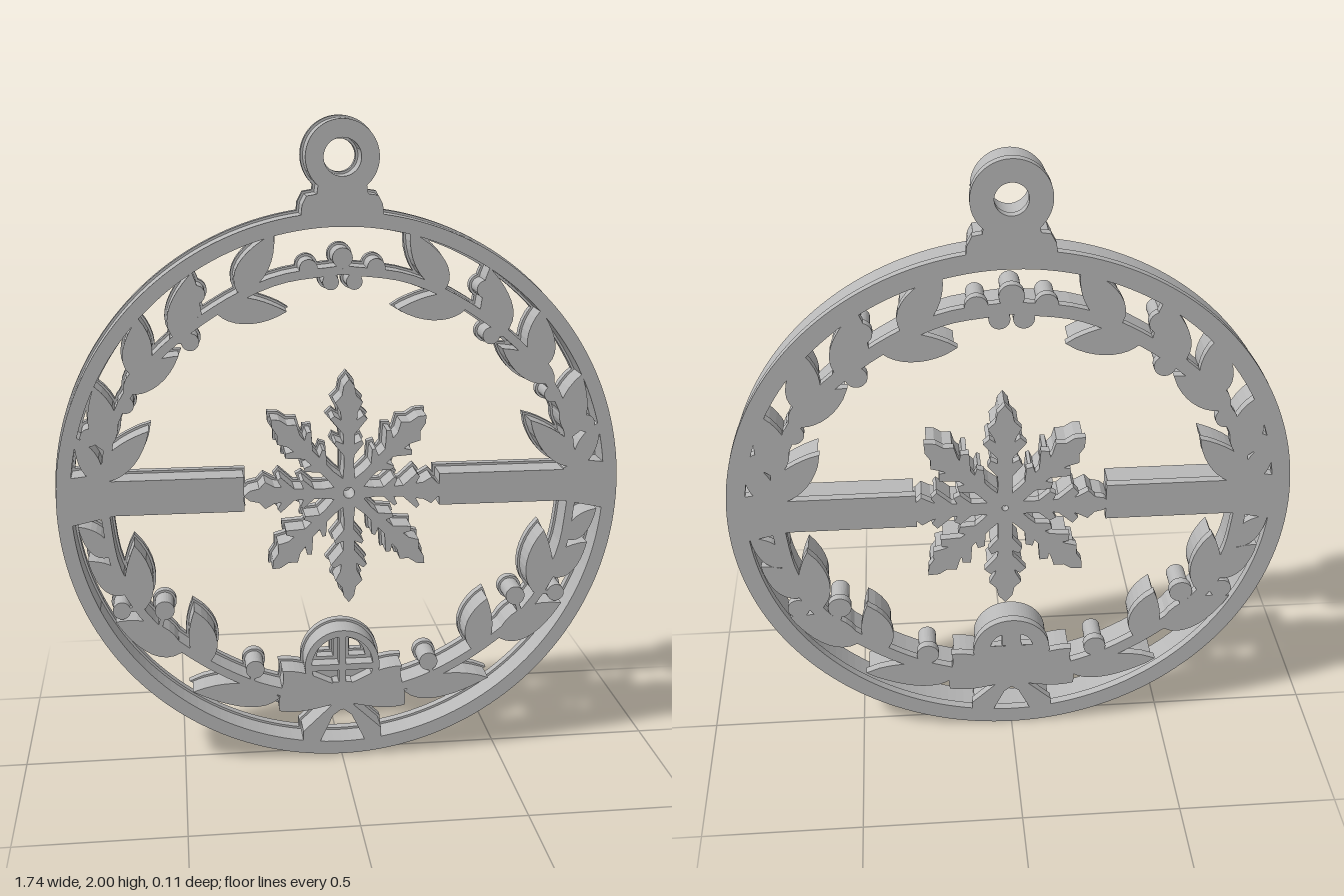
import * as THREE from 'three';

const grey = new THREE.MeshStandardMaterial({ color: 0xb8b8b8 });
grey.name = 'silverGrey';

const BACK = -0.055, STEP = -0.028, FRONT = 0.055, LIP = 0.007;
const CY = 0.868; // centre height of the hoop

const polygon = (pts) => new THREE.Shape(pts.map(([x, y]) => new THREE.Vector2(x, y)));

function disc(x, y, r, hole = 0) {
  const s = new THREE.Shape();
  s.absarc(x, y, r, 0, Math.PI * 2, false);
  if (hole) addHole(s, x, y, hole);
  return s;
}

function addHole(s, x, y, r) {
  const h = new THREE.Path();
  h.absarc(x, y, r, 0, Math.PI * 2, true);
  s.holes.push(h);
}

export function createModel() {
  const model = new THREE.Group();
  model.name = 'ornament';

  // Every part is a front slab on a slightly wider back slab
  function cutout(name, shape, { segments = 12, front = FRONT } = {}) {
    const group = new THREE.Group();
    group.name = name;
    const body = new THREE.Mesh(new THREE.ExtrudeGeometry(shape, {
      depth: front - STEP, bevelEnabled: false, curveSegments: segments,
    }), grey);
    body.name = name + 'Body';
    body.position.z = STEP;
    const lip = new THREE.Mesh(new THREE.ExtrudeGeometry(shape, {
      depth: STEP - BACK, curveSegments: segments, bevelEnabled: true,
      bevelSegments: 0, bevelThickness: 0, bevelSize: 0, bevelOffset: LIP,
    }), grey);
    lip.name = name + 'Lip';
    lip.position.z = BACK;
    group.add(body, lip);
    model.add(group);
  }

  // Pointed leaf from its base to its tip
  function leaf(bx, by, tx, ty, w) {
    const dx = tx - bx, dy = ty - by, len = Math.hypot(dx, dy);
    const at = (t, n) => [bx + dx * t - dy / len * n, by + dy * t + dx / len * n];
    const s = new THREE.Shape();
    s.moveTo(...at(0, 0));
    s.bezierCurveTo(...at(0.15, w * 1.1), ...at(0.6, w * 1.3), ...at(1, 0));
    s.bezierCurveTo(...at(0.7, -w * 0.7), ...at(0.2, -w * 1.5), ...at(0, 0));
    cutout('leaf', s, { segments: 10 });
  }

  // Narrow curved band through a few points
  function stem(name, pts, half) {
    const curve = new THREE.CatmullRomCurve3(pts.map(([x, y]) => new THREE.Vector3(x, y, 0)));
    const a = [], b = [];
    for (let i = 0; i <= 24; i++) {
      const p = curve.getPoint(i / 24), t = curve.getTangent(i / 24);
      a.push([p.x - t.y * half, p.y + t.x * half]);
      b.unshift([p.x + t.y * half, p.y - t.x * half]);
    }
    cutout(name, polygon([...a, ...b]));
  }

  // Hoop
  cutout('hoop', disc(0, CY, 0.861, 0.818), { segments: 96 });

  // Hanging eye with its stepped foot
  cutout('hangingEye', disc(0, 1.885, 0.108, 0.055), { segments: 40 });
  cutout('hangerFoot', polygon([
    [-0.125, 1.685], [0.125, 1.685], [0.118, 1.75], [0.105, 1.775], [0.075, 1.78],
    [0.07, 1.815], [-0.07, 1.815], [-0.075, 1.78], [-0.105, 1.775], [-0.118, 1.75],
  ]));

  // Cross bars carrying the snowflake
  cutout('leftBar', polygon([[0.3, 0.83], [0.72, 0.83], [0.72, 0.93], [0.3, 0.93]]));
  cutout('rightBar', polygon([[-0.72, 0.83], [-0.3, 0.83], [-0.3, 0.938], [-0.72, 0.938]]));

  // Eight-armed snowflake: half an arm as [distance, half width]
  const arm = [[0.085, 0.015], [0.115, 0.016], [0.15, 0.045], [0.16, 0.04], [0.15, 0.017],
    [0.18, 0.018], [0.225, 0.056], [0.235, 0.045], [0.222, 0.024], [0.245, 0.026],
    [0.275, 0.042], [0.295, 0.022], [0.325, 0.016]];
  const flake = [];
  for (let k = 0; k < 8; k++) {
    const a = k * Math.PI / 4, level = k % 4 === 0;
    const len = level ? 0.93 : k % 2 ? 0.97 : 1.03;
    const put = (r, w) => flake.push([
      0.02 + Math.cos(a) * r * len - Math.sin(a) * w,
      0.878 + Math.sin(a) * r * len + Math.cos(a) * w,
    ]);
    arm.forEach(([r, w]) => put(r, -w));
    put(0.345, 0);
    [...arm].reverse().forEach(([r, w]) => put(r, w));
    const v = a + Math.PI / 8;
    flake.push([0.02 + Math.cos(v) * 0.05, 0.878 + Math.sin(v) * 0.05]);
  }
  const flakeShape = polygon(flake);
  addHole(flakeShape, 0.02, 0.878, 0.017);
  cutout('snowflake', flakeShape);

  // Wreath, mirrored left and right: leaves as base, tip, half width
  const leaves = [
    [0.31, 1.5, 0.2, 1.67, 0.048], [0.38, 1.45, 0.165, 1.44, 0.045],
    [0.49, 1.36, 0.44, 1.56, 0.05], [0.65, 1.21, 0.485, 1.315, 0.045],
    [0.61, 1.25, 0.6, 1.43, 0.05], [0.73, 0.94, 0.58, 1.09, 0.045],
    [0.7, 1.04, 0.735, 1.23, 0.05], [0.73, 0.94, 0.8, 1.08, 0.035],
    [0.62, 0.52, 0.635, 0.735, 0.05], [0.71, 0.7, 0.8, 0.8, 0.035],
    [0.66, 0.58, 0.775, 0.69, 0.045], [0.5, 0.38, 0.7, 0.49, 0.055],
    [0.42, 0.34, 0.46, 0.515, 0.05], [0.2, 0.21, 0.47, 0.245, 0.045],
  ];
  // Berries: centre, radius, and the point where the stalk meets the stem
  const berries = [
    [0.1, 1.565, 0.027, 0.12, 1.54], [0.035, 1.525, 0.024, 0.06, 1.555],
    [0.43, 1.495, 0.027, 0.42, 1.43], [0.45, 1.355, 0.026, 0.51, 1.36],
    [0.645, 1.17, 0.025, 0.67, 1.15], [0.755, 1.075, 0.027, 0.71, 1.04],
    [0.55, 0.52, 0.03, 0.57, 0.45], [0.68, 0.525, 0.027, 0.63, 0.53],
    [0.275, 0.31, 0.029, 0.29, 0.26],
  ];
  for (const m of [1, -1]) {
    stem('upperStem', [[0, 1.56], [0.2, 1.53], [0.4, 1.43], [0.58, 1.28], [0.68, 1.12], [0.72, 0.92]]
      .map(([x, y]) => [m * x, y]), 0.013);
    stem('lowerStem', [[0.72, 0.85], [0.69, 0.66], [0.6, 0.49], [0.44, 0.35], [0.28, 0.26], [0.16, 0.22]]
      .map(([x, y]) => [m * x, y]), 0.013);
    for (const [bx, by, tx, ty, w] of leaves) leaf(m * bx, by, m * tx, ty, m * w);
    for (const [x, y, r, sx, sy] of berries) {
      cutout('berry', disc(m * x, y, r), { segments: 18 });
      stem('berryStalk', [[m * x, y], [m * sx, sy]], 0.007);
    }
    // Web joining the bar to the hoop
    cutout('sideWeb', polygon([[0.69, 0.83], [0.83, 0.8], [0.84, 0.87], [0.83, 0.95], [0.74, 0.96], [0.69, 0.935]]
      .map(([x, y]) => [m * x, y])));
  }
  cutout('topBerry', disc(0, 1.595, 0.03), { segments: 20 });

  // Bauble: thick rim and straps over a thin pierced plate
  cutout('baubleRim', disc(0, 0.31, 0.118, 0.097), { segments: 40 });
  const plate = disc(0, 0.31, 0.1);
  for (const m of [1, -1]) {
    const slot = new THREE.Path();
    slot.moveTo(m * 0.025, 0.325);
    slot.lineTo(m * 0.078, 0.325);
    slot.quadraticCurveTo(m * 0.07, 0.375, m * 0.025, 0.385);
    plate.holes.push(slot);
  }
  cutout('baublePlate', plate, { segments: 32, front: 0.01 });
  cutout('baubleStrap', polygon([[-0.011, 0.23], [0.011, 0.23], [0.011, 0.41], [-0.011, 0.41]]));
  cutout('baubleBand', polygon([[-0.1, 0.295], [0.1, 0.295], [0.1, 0.315], [-0.1, 0.315]]));

  // Bow: loops, knot and tails reaching down to the hoop
  for (const m of [1, -1]) {
    const loop = new THREE.Shape();
    loop.moveTo(0, 0.24);
    loop.bezierCurveTo(m * 0.07, 0.26, m * 0.1, 0.3, m * 0.19, 0.3);
    loop.bezierCurveTo(m * 0.175, 0.26, m * 0.21, 0.22, m * 0.2, 0.165);
    loop.bezierCurveTo(m * 0.13, 0.15, m * 0.08, 0.17, 0, 0.185);
    cutout('bowLoop', loop);
    cutout('bowTail', polygon([[0.005, 0.19], [0.035, 0.175], [0.125, 0.09], [0.125, 0.05], [0.075, 0.045], [0.03, 0.14], [0.005, 0.16]]
      .map(([x, y]) => [m * x, y])));
  }
  cutout('bowKnot', polygon([[-0.035, 0.16], [0.035, 0.16], [0.042, 0.21], [0.03, 0.255], [-0.03, 0.255], [-0.042, 0.21]]));

  return model;
}
